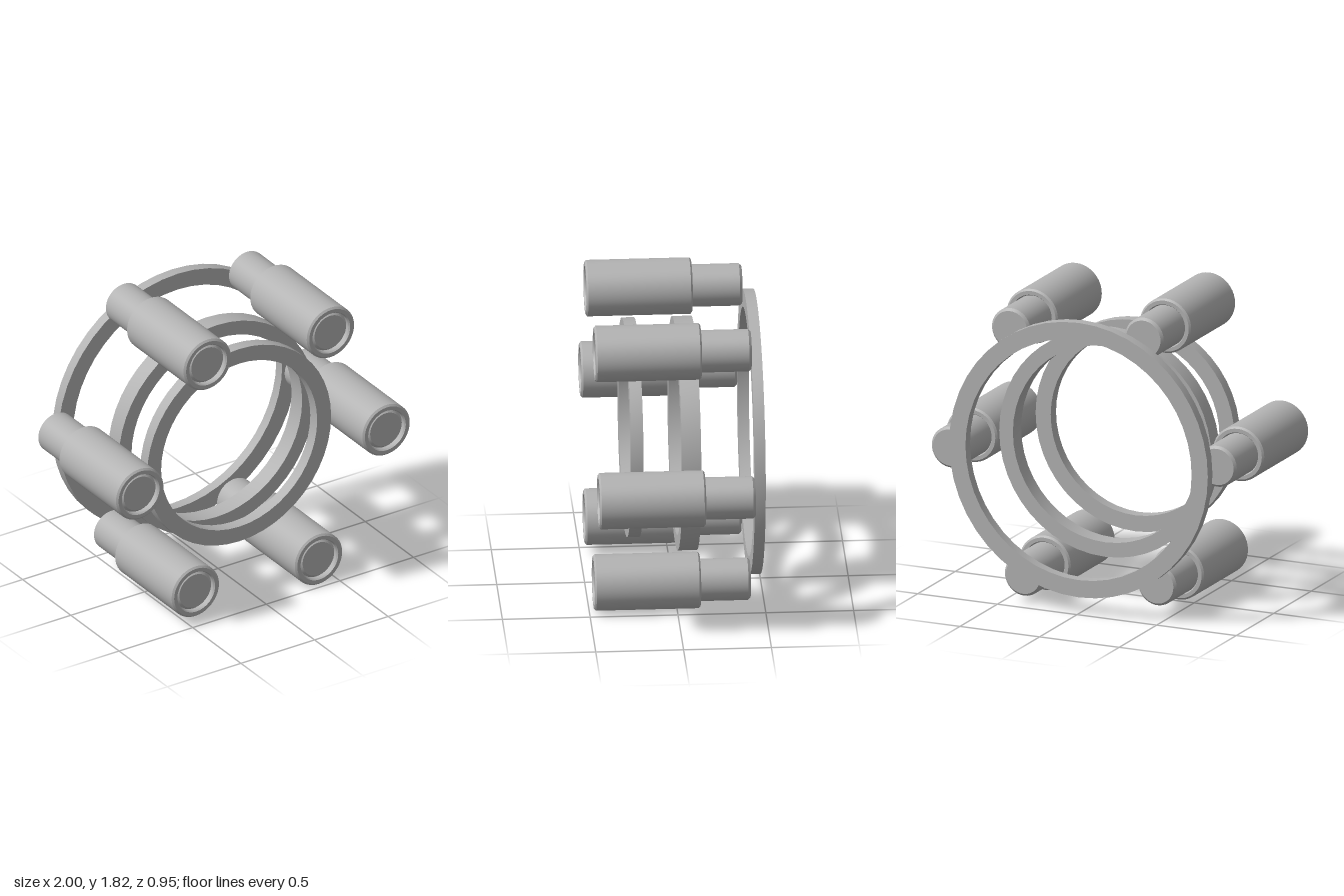
import * as THREE from 'three';
import { toCreasedNormals } from 'three/addons/utils/BufferGeometryUtils.js';

const CENTER_Y = 0.915;

export function createModel() {
  const model = new THREE.Group();
  model.name = 'ringAssembly';
  const grey = new THREE.MeshStandardMaterial({ color: 0xb2b2b2 });
  grey.name = 'plain grey';

  // Turns a [radius, z] profile around the z axis, keeping its edges sharp
  const turn = (profile, segments) => {
    const points = profile.map(([r, z]) => new THREE.Vector2(r, z));
    const geometry = new THREE.LatheGeometry(points, segments).rotateX(Math.PI / 2);
    return toCreasedNormals(geometry, 0.5);
  };

  const addPart = (parent, name, geometry, x = 0, y = 0) => {
    const mesh = new THREE.Mesh(geometry, grey);
    mesh.name = name;
    mesh.position.set(x, y, 0);
    parent.add(mesh);
  };

  // Three flat rings, the front one slightly off centre
  const ring = (inner, outer, back, front) => turn(
    [[inner, back], [outer, back], [outer, front], [inner, front], [inner, back]], 48);
  addPart(model, 'backRing', ring(0.71, 0.812, -0.48, -0.418), 0, CENTER_Y);
  addPart(model, 'middleRing', ring(0.58, 0.666, -0.123, -0.013), 0, CENTER_Y);
  addPart(model, 'frontRing', ring(0.53, 0.625, 0.201, 0.272), -0.035, 0.944);

  // Outer sleeve with chamfered rims, and the rod that slides through it
  const back = -0.131, front = 0.474, c = 0.01;
  const sleeve = turn([
    [0.122, back + c], [0.128, back], [0.15, back], [0.161, back + c],
    [0.161, front - c], [0.15, front], [0.128, front], [0.122, front - c],
    [0.122, back + c],
  ], 40);
  const rod = turn([
    [0, -0.417], [0.107, -0.417], [0.121, -0.402],
    [0.121, 0.443], [0.105, 0.46], [0, 0.46],
  ], 40);

  // Six cylinders spaced evenly around the rings
  for (let i = 0; i < 6; i++) {
    const angle = THREE.MathUtils.degToRad(-3.2 + i * 60);
    const cylinder = new THREE.Group();
    cylinder.name = `cylinder${i + 1}`;
    cylinder.position.set(0.838 * Math.cos(angle), CENTER_Y + 0.838 * Math.sin(angle), 0);
    addPart(cylinder, 'sleeve', sleeve);
    addPart(cylinder, 'rod', rod);
    model.add(cylinder);
  }
  return model;
}
